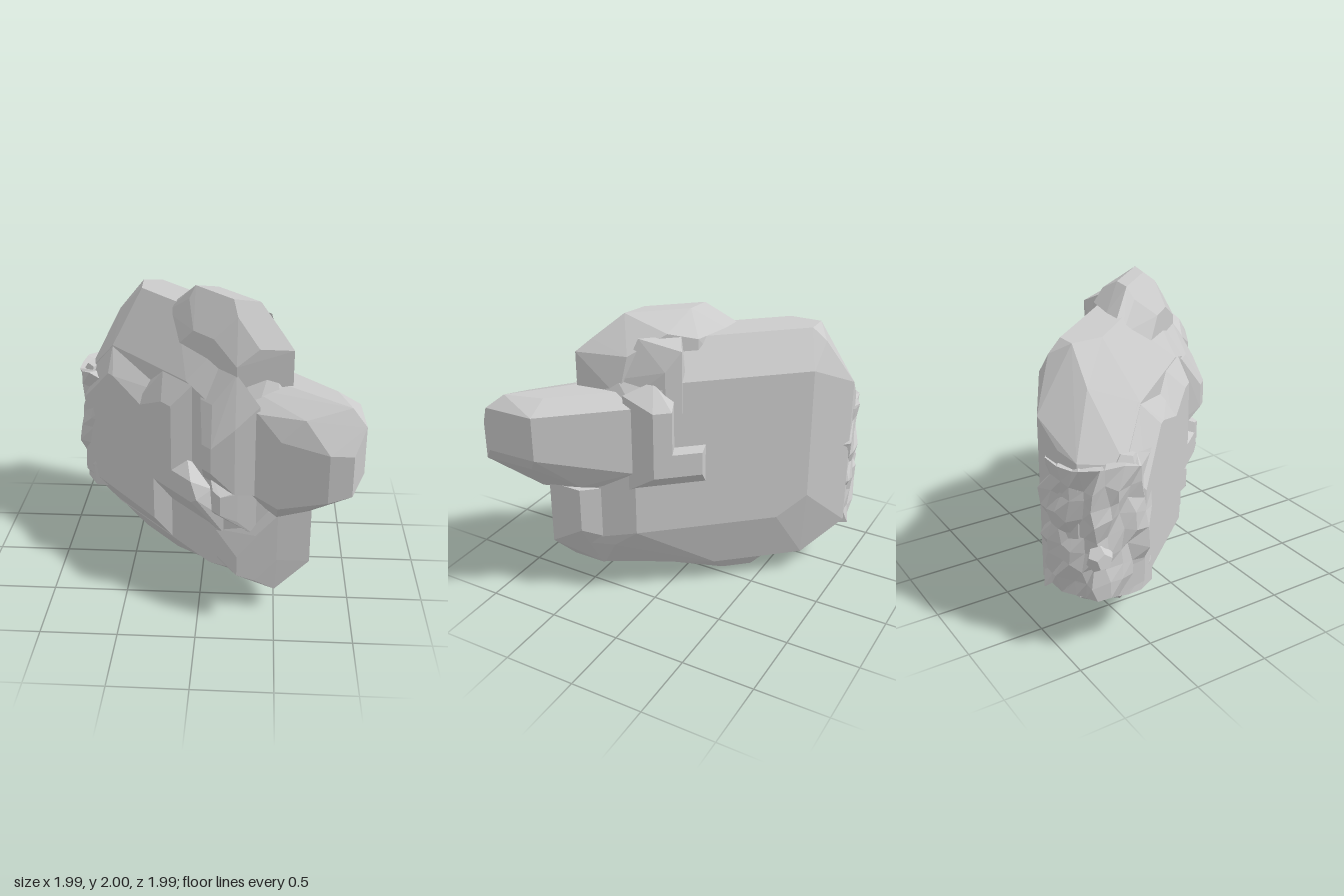
import * as THREE from 'three';
import { ConvexGeometry } from 'three/addons/geometries/ConvexGeometry.js';

const SLOPE = 1.14; // the slab runs diagonally: z = SLOPE * x + depth

export function createModel() {
  const group = new THREE.Group();
  const material = new THREE.MeshStandardMaterial({ color: 0xcccccc, flatShading: true });

  function add(name, geometry) {
    const mesh = new THREE.Mesh(geometry, material);
    mesh.name = name;
    group.add(mesh);
    return mesh;
  }

  // Faceted lump: each layer is [depth, [x, y], [x, y], ...]
  function lump(name, ...layers) {
    const points = layers.flatMap(([depth, ...outline]) =>
      outline.map(([x, y]) => new THREE.Vector3(x, y, Math.max(-0.99, Math.min(1, SLOPE * x + depth)))));
    return add(name, new ConvexGeometry(points));
  }

  // Main slab, from front to back
  lump('mainSlab',
    [0.4, [-0.91, 0.37], [-0.75, 0.31], [-0.66, 0.23], [0.06, 0.23], [0.06, 1.4], [-0.1, 1.47], [-0.67, 1.47], [-0.88, 1.2]],
    [0.22, [0.35, 0.25], [0.35, 1.38]],
    [0.03, [-0.8, 0.36], [-0.7, 0.25], [-0.6, 0.16], [0.5, 0.17], [0.5, 1.38], [0.2, 1.8], [-0.2, 1.85], [-0.47, 1.85], [-0.66, 1.63], [-0.8, 1.25]],
    [-0.17, [-0.67, 0.4], [-0.5, 0.16], [0.5, 0.17], [0.7, 0.39], [0.7, 0.84], [0.58, 1.46], [0.48, 1.77], [-0.48, 1.85], [-0.67, 1.3]],
    [-0.33, [-0.34, 1.85], [0.25, 1.85]],
    [-0.4, [-0.5, 0.39], [-0.35, 0.23], [-0.3, 0.16], [0.12, 0.16], [0.58, 0.4], [0.58, 1.46], [0.3, 1.77], [-0.36, 1.77], [-0.5, 1.46]],
    [-0.56, [-0.07, 0.54], [-0.21, 0.69], [0.57, 0.54], [0.57, 1.46], [0.4, 1.61], [-0.21, 1.61]]);

  // Keel that the slab stands on
  lump('keel',
    [0.38, [-0.68, 0.24], [0.04, 0.23]],
    [0.14, [-0.47, 0], [-0.2, 0]],
    [0.03, [-0.62, 0.2], [0.06, 0]],
    [-0.05, [0.23, 0.17]],
    [-0.17, [-0.2, 0], [-0.06, 0]],
    [-0.33, [-0.19, 0.17], [0.1, 0.17]]);

  // Raised plates on the front
  lump('frontPlateLeft',
    [0.56, [-0.93, 0.42], [-0.34, 0.39], [-0.34, 1.16], [-0.62, 1.16], [-0.65, 1.31], [-0.69, 1.31], [-0.91, 1.02]],
    [0.38, [-0.91, 0.37], [-0.75, 0.31], [-0.66, 0.22], [-0.2, 0.22], [-0.2, 1.31], [-0.5, 1.31], [-0.62, 1.46], [-0.67, 1.48], [-0.88, 1.2]]);
  lump('frontPlateRight',
    [0.56, [-0.5, 0.7], [-0.2, 0.7], [-0.2, 1.31], [-0.27, 1.31], [-0.27, 1.16], [-0.5, 1.16]],
    [0.4, [-0.5, 0.54], [-0.27, 0.54], [-0.06, 0.6], [-0.06, 1.46], [-0.27, 1.46], [-0.3, 1.31], [-0.5, 1.2]]);

  // Stepped ledges down the middle of the front
  lump('lowerLedge',
    [0.56, [-0.33, 0.7], [-0.06, 0.7], [-0.02, 0.74], [-0.06, 0.85], [-0.33, 0.85]],
    [0.4, [-0.2, 0.54], [0.08, 0.54], [0.08, 0.8], [-0.1, 0.95]],
    [0.25, [0.08, 0.39], [0.23, 0.39], [0.23, 0.55], [0.08, 0.85], [-0.2, 0.4]]);
  lump('centreLedge',
    [0.5, [0.09, 0.7], [0.14, 0.7], [0.14, 0.83], [0.09, 0.85]],
    [0.36, [0.07, 0.6], [0.25, 0.65], [0.25, 0.85], [0.05, 0.95]],
    [0.2, [0.05, 0.54], [0.37, 0.54], [0.37, 0.9], [0.05, 1.0]]);
  lump('middleLedge',
    [0.57, [0.02, 1.0], [0.08, 1.0], [0.08, 1.17], [0.02, 1.17]],
    [0.41, [0.02, 0.86], [0.23, 0.86], [0.23, 1.31], [0.08, 1.4], [0.0, 1.4]],
    [0.22, [0.0, 0.85], [0.38, 0.85], [0.38, 1.46], [0.23, 1.6], [0, 1.6]]);

  // Right lobe
  lump('rightLobe',
    [0.25, [0.2, 0.85], [0.5, 0.85], [0.51, 1.31], [0.37, 1.42], [0.2, 1.42]],
    [0.1, [0.3, 0.76], [0.5, 0.71], [0.65, 0.85], [0.79, 1.0], [0.79, 1.31], [0.65, 1.46], [0.3, 1.5]],
    [-0.06, [0.3, 0.72], [0.7, 0.8], [0.93, 1.05], [0.93, 1.31], [0.82, 1.46], [0.3, 1.54]],
    [-0.23, [0.3, 0.75], [0.72, 0.85], [1, 1.16], [1, 1.46], [0.92, 1.54], [0.5, 1.54]],
    [-0.4, [0.4, 0.85], [0.72, 0.88], [0.92, 1.05], [0.85, 1.54], [0.4, 1.54]],
    [-0.56, [0.2, 1.0], [0.58, 1.0], [0.85, 1.16], [0.99, 1.16], [0.99, 1.46], [0.2, 1.46]]);

  // Lower right lobe, with a flat front
  lump('lowerLobe',
    [0.37, [0.1, 0.3], [0.25, 0.25], [0.25, 0.39], [0.1, 0.5]],
    [0.24, [0.1, 0.2], [0.37, 0.22], [0.37, 0.56], [0.1, 0.7]],
    [0.09, [0.1, 0.16], [0.5, 0.16], [0.51, 0.39], [0.51, 0.72], [0.1, 0.85]],
    [-0.15, [0.1, 0.16], [0.5, 0.16], [0.72, 0.39], [0.72, 0.85], [0.1, 0.85]],
    [-0.39, [0.1, 0.4], [0.5, 0.4], [0.72, 0.54], [0.72, 0.85], [0.1, 0.85]]);

  // Top lobe
  lump('topLobe',
    [0.23, [-0.18, 1.46], [0.23, 1.5], [0.23, 1.65], [0.08, 1.77], [-0.06, 1.77], [-0.18, 1.62]],
    [0.07, [-0.27, 1.5], [-0.27, 1.77], [-0.1, 1.92], [0.23, 1.92], [0.37, 1.77], [0.37, 1.5]],
    [-0.01, [-0.2, 1.85], [-0.06, 2], [0.2, 2]],
    [-0.16, [-0.1, 1.5], [-0.06, 1.85], [0.09, 2], [0.37, 2], [0.51, 1.85], [0.58, 1.77], [0.58, 1.5]],
    [-0.4, [0.2, 1.5], [0.2, 1.85], [0.33, 1.9], [0.5, 1.77], [0.54, 1.5]]);

  // Ridge and step on the back
  lump('backRidge',
    [-0.72, [0.5, 1.0], [0.58, 1.0], [0.58, 1.46], [0.5, 1.46]],
    [-0.5, [0.36, 0.85], [0.58, 0.85], [0.58, 1.54], [0.45, 1.62], [0.36, 1.5]]);
  lump('backStep',
    [-0.72, [0.37, 1.0], [0.55, 1.0], [0.55, 1.16], [0.37, 1.16]],
    [-0.5, [0.22, 0.85], [0.57, 0.85], [0.57, 1.16], [0.22, 1.16]]);
  lump('backCrest',
    [-0.57, [0.37, 1.4], [0.44, 1.4], [0.44, 1.69], [0.37, 1.82]],
    [-0.38, [0.22, 1.4], [0.55, 1.4], [0.52, 1.62], [0.44, 1.88], [0.26, 1.88]]);

  // Rough broken end: a subdivided block bent round the slab's end and jittered
  const hash = (a, b, c) => {
    const s = Math.sin(a * 127.1 + b * 311.7 + c * 74.7) * 43758.5453;
    return s - Math.floor(s) - 0.5;
  };
  const bend = new THREE.Path();
  bend.moveTo(-0.52, -0.96).lineTo(-0.7, -0.95).lineTo(-0.92, -0.82).lineTo(-0.935, -0.5);
  const block = new THREE.BoxGeometry(1, 1, 1, 2, 8, 9).toNonIndexed();
  const pos = block.attributes.position;
  for (let i = 0; i < pos.count; i++) {
    const a = Math.round((pos.getX(i) + 0.5) * 2), b = Math.round((pos.getY(i) + 0.5) * 8);
    const t = pos.getZ(i) + 0.5, c = Math.round(t * 9);
    const at = bend.getPointAt(t);
    const amount = a < 2 ? 0.06 : 0;
    pos.setXYZ(i,
      at.x + a * 0.1 + hash(a, b, c) * amount,
      0.79 + (b / 8 - 0.5) * 0.84 + hash(b, c, a) * amount,
      at.y + a * 0.09 + hash(c, a, b) * amount);
  }
  add('brokenEnd', block);

  // Chips standing out of the broken end: [x, y, z, radius]
  for (const [x, y, z, r] of [[-0.83, 1.18, -0.58, 0.1], [-0.92, 0.67, -0.81, 0.085]]) {
    const chip = add('endChip', new THREE.DodecahedronGeometry(r, 0));
    chip.position.set(x, y, z);
    chip.rotation.set(x * 5, y * 3, z * 4);
  }
  return group;
}
